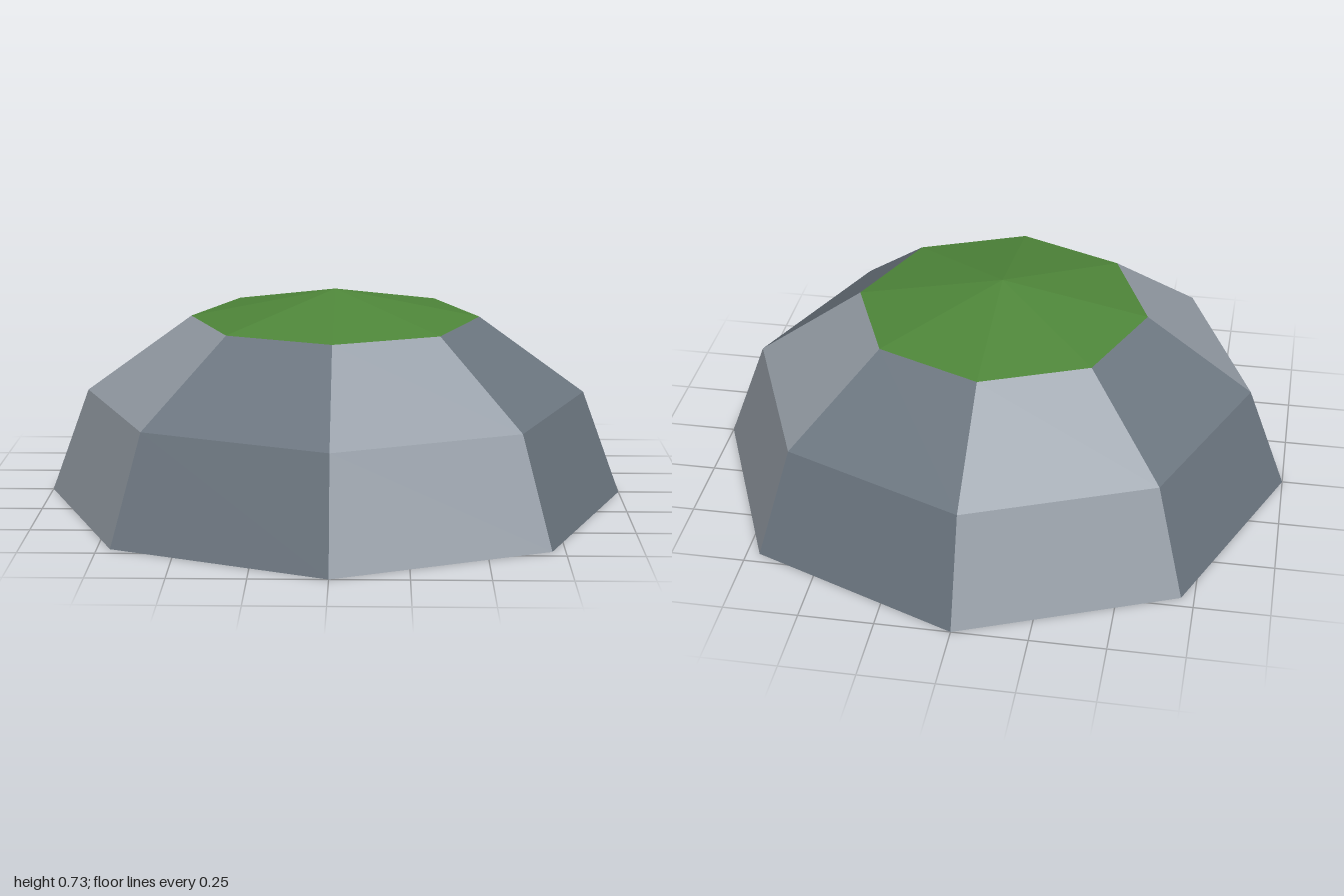
import * as THREE from 'three';

const SIDES = 8;
const HEIGHT = 0.725;

// Point on the squashed dome profile, angle measured down from the top
function profilePoint(degrees) {
  const a = THREE.MathUtils.degToRad(degrees);
  return new THREE.Vector2(Math.sin(a), HEIGHT * Math.cos(a));
}

function makeMaterial(name, color) {
  const m = new THREE.MeshStandardMaterial({ color, flatShading: true, side: THREE.DoubleSide });
  m.name = name;
  return m;
}

export function createModel() {
  const group = new THREE.Group();
  group.name = 'dome';
  const lightGrey = makeMaterial('light grey', 0x969ea7);
  const darkGrey = makeMaterial('dark grey', 0x6c7680);
  const green = makeMaterial('green', 0x4f873a);

  // Wall panels: two-row slices in alternating greys, open underneath
  const wall = [90, 60, 30].map(profilePoint);
  const step = (Math.PI * 2) / SIDES;
  for (let i = 0; i < SIDES; i++) {
    const panel = new THREE.Mesh(
      new THREE.LatheGeometry(wall, 1, i * step, step),
      i % 2 ? darkGrey : lightGrey
    );
    panel.name = `wallPanel${i + 1}`;
    group.add(panel);
  }

  // Shallow pointed roof cap
  const rim = profilePoint(30);
  const capHeight = HEIGHT - rim.y;
  const cap = new THREE.Mesh(new THREE.ConeGeometry(rim.x, capHeight, SIDES, 1, true), green);
  cap.position.y = rim.y + capHeight / 2;
  cap.name = 'roofCap';
  group.add(cap);

  return group;
}
